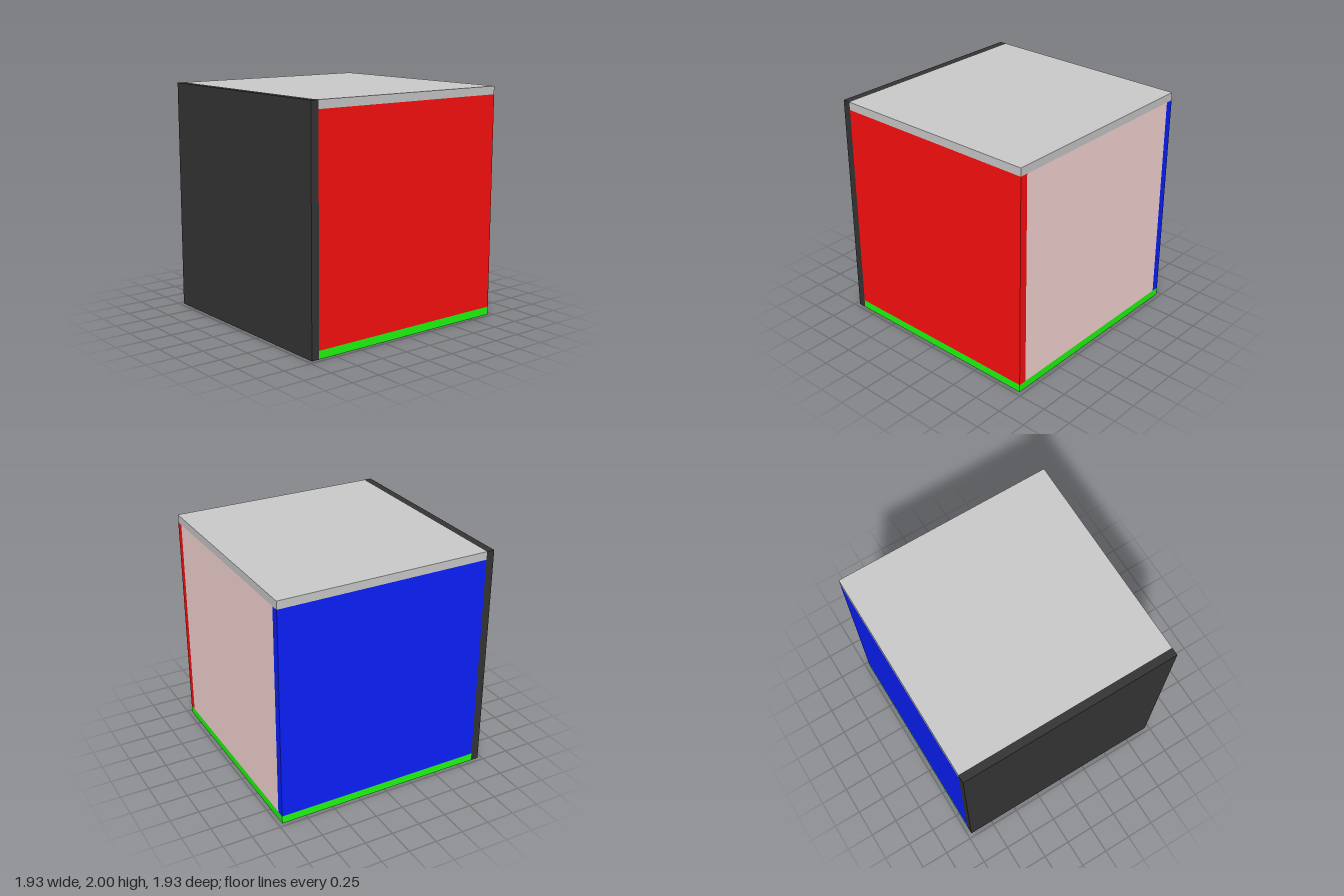
import * as THREE from 'three';

const HALF = 0.965; // half width and depth of the box
const T = 0.07;     // panel thickness
const H = 2;        // height

// Panel spanning two opposite corners
function panel(name, color, min, max) {
  const a = new THREE.Vector3(...min);
  const b = new THREE.Vector3(...max);
  const size = b.clone().sub(a);
  const mesh = new THREE.Mesh(
    new THREE.BoxGeometry(size.x, size.y, size.z),
    new THREE.MeshStandardMaterial({ color })
  );
  mesh.position.copy(a).add(b).multiplyScalar(0.5);
  mesh.name = name;
  return mesh;
}

export function createModel() {
  const model = new THREE.Group();
  model.name = 'panelBox';
  const inner = HALF - T;

  model.add(
    // Front covers the full face; top and bottom butt against its back
    panel('frontPanel', 0x353535, [-HALF, 0, inner], [HALF, H, HALF]),
    panel('topPanel', 0xcccccc, [-HALF, H - T, -HALF], [HALF, H, inner]),
    panel('bottomPanel', 0x1fff0f, [-HALF, 0, -HALF], [HALF, T, inner]),
    // Sides stand between top and bottom
    panel('rightPanel', 0xff0f0f, [inner, T, -HALF], [HALF, H - T, inner]),
    panel('leftPanel', 0x0a20ff, [-HALF, T, -HALF], [-inner, H - T, inner]),
    // Back is set flush between the sides
    panel('backPanel', 0xfcdad8, [-inner, T, -HALF], [inner, H - T, -inner])
  );
  // Side names follow the model's own left (+x) and right (-x)
  model.getObjectByName('rightPanel').name = 'leftSidePanel';
  model.getObjectByName('leftPanel').name = 'rightSidePanel';
  return model;
}
